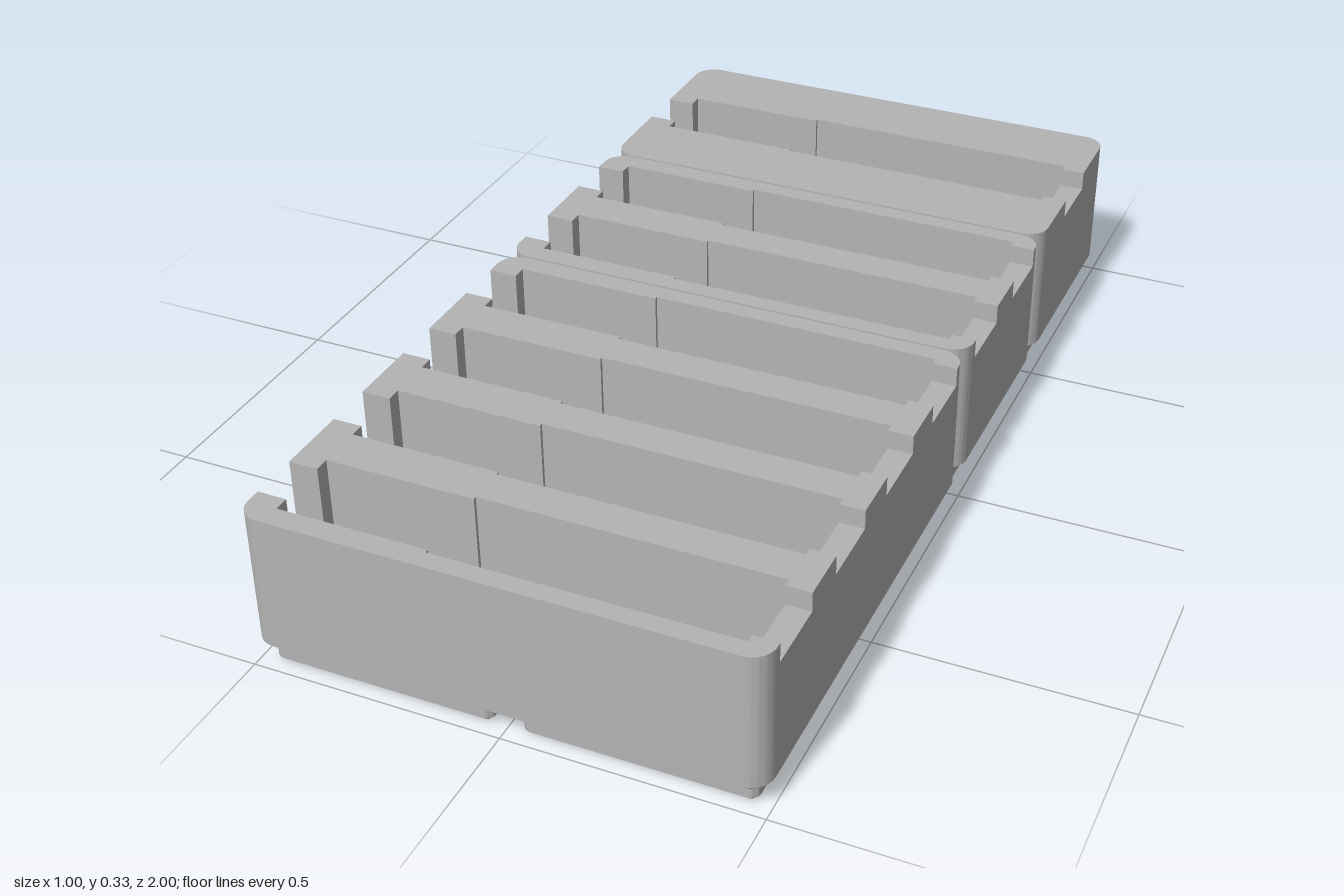
import * as THREE from 'three';
import { toCreasedNormals } from 'three/addons/utils/BufferGeometryUtils.js';

const X = 0.4985, R = 0.0448;               // half width of a bin, corner radius
const BODY = 0.0567, SLAB = 0.08, TOP = 0.3343;
const FLOOR = 0.1, WIDE_FLOOR = 0.09, SILL = 0.295, RAMP = 0.21;
// half width of a slot along x: [start, end, half width]
const SLOT = [[-X, -0.44, 0.05], [-0.44, -0.14, 0.08], [-0.14, 0.45, 0.087], [0.45, X, 0.07]];
// bins: back end, front end, number of slots
const BINS = [[0.003, 1, 4], [-0.4985, -0.003, 2], [-1, -0.5045, 1]];

const plastic = new THREE.MeshStandardMaterial({ color: 0xb4b4b4, side: THREE.DoubleSide });
plastic.name = 'grey plastic';

function add(group, name, geometry, x = 0, y = 0, z = 0) {
  const mesh = new THREE.Mesh(geometry, plastic);
  mesh.name = name;
  mesh.position.set(x, y, z);
  group.add(mesh);
}

// Extrudes a plan shape upwards; shape y becomes -z
function raise(shape, y0, y1) {
  const g = new THREE.ExtrudeGeometry(shape, { depth: y1 - y0, bevelEnabled: false, curveSegments: 8 });
  return toCreasedNormals(g.rotateX(-Math.PI / 2).translate(0, y0, 0), 0.5);
}

// Plan of a wall between two slots, or out to a rounded end of the bin
function wallPlan(lo, hi, loEnd, hiEnd) {
  const s = new THREE.Shape(), P = Math.PI;
  if (loEnd) {
    s.moveTo(-X, lo + R);
    s.absarc(-X + R, lo + R, R, P, 1.5 * P);
    s.absarc(X - R, lo + R, R, 1.5 * P, 2 * P);
  } else {
    SLOT.forEach(([a, b, w], i) => {
      if (i) s.lineTo(a, lo + w); else s.moveTo(a, lo + w);
      s.lineTo(b, lo + w);
    });
  }
  if (hiEnd) {
    s.absarc(X - R, hi - R, R, 0, P / 2);
    s.absarc(-X + R, hi - R, R, P / 2, P);
  } else {
    [...SLOT].reverse().forEach(([a, b, w]) => s.lineTo(b, hi - w).lineTo(a, hi - w));
  }
  s.closePath();
  return s;
}

function boxBetween(x0, x1, y0, y1, half) {
  return new THREE.BoxGeometry(x1 - x0, y1 - y0, half * 2).translate((x0 + x1) / 2, (y0 + y1) / 2, 0);
}

// Points round a rounded square, counter-clockwise
function roundedSquare(half, r, n = 8) {
  const pts = [];
  [[1, 1], [-1, 1], [-1, -1], [1, -1]].forEach(([sx, sy], q) => {
    for (let i = 0; i <= n; i++) {
      const a = (q + i / n) * Math.PI / 2;
      pts.push(new THREE.Vector2(sx * (half - r) + r * Math.cos(a), sy * (half - r) + r * Math.sin(a)));
    }
  });
  return pts;
}

// Stepped foot side, lofted through [height, half size, corner radius]
function footSide() {
  const rings = [[0, 0.2125, 0.0096], [0.0096, 0.222, 0.019], [0.031, 0.222, 0.019], [BODY, 0.2478, R]]
    .map(([y, h, r]) => roundedSquare(h, r).map(p => [p.x, y, -p.y]));
  const pos = [], n = rings[0].length;
  for (let j = 0; j < rings.length - 1; j++) {
    for (let i = 0; i < n; i++) {
      const k = (i + 1) % n;
      const [a, b, c, d] = [rings[j][i], rings[j][k], rings[j + 1][k], rings[j + 1][i]];
      pos.push(...a, ...b, ...c, ...a, ...c, ...d);
    }
  }
  const g = new THREE.BufferGeometry();
  g.setAttribute('position', new THREE.Float32BufferAttribute(pos, 3));
  return toCreasedNormals(g, 0.5);
}

function makeFoot() {
  const foot = new THREE.Group(), r = 0.039, depth = 0.029, off = 0.155;
  add(foot, 'footSide', footSide());
  const sole = new THREE.Shape(roundedSquare(0.2125, 0.0096));
  for (const x of [-off, off]) for (const z of [-off, off]) {
    sole.holes.push(new THREE.Path().absarc(x, z, r, 0, Math.PI * 2, true));
    add(foot, 'magnetHoleWall', new THREE.CylinderGeometry(r, r, depth, 24, 1, true), x, depth / 2, z);
    add(foot, 'magnetHoleEnd', new THREE.CircleGeometry(r, 24).rotateX(Math.PI / 2), x, depth, z);
  }
  add(foot, 'footSole', new THREE.ShapeGeometry(sole, 12).rotateX(Math.PI / 2));
  return foot;
}

function makeBin(z0, z1, count) {
  const bin = new THREE.Group();
  bin.name = 'bin';
  const lo = -z1, hi = -z0;
  add(bin, 'baseSlab', raise(wallPlan(lo, hi, true, true), BODY, SLAB));

  // walls between the slots
  const centre = i => lo + (hi - lo) * (i + 0.5) / count;
  for (let i = 0; i <= count; i++) {
    const first = i === 0, last = i === count;
    add(bin, 'wall', raise(wallPlan(first ? lo : centre(i - 1), last ? hi : centre(i), first, last), SLAB, TOP));
  }

  // narrow floor with a round recess, and the ramp up to the right-hand notch
  const floor = new THREE.Shape([[-0.44, -0.08], [-0.14, -0.08], [-0.14, 0.08], [-0.44, 0.08]]
    .map(p => new THREE.Vector2(...p)));
  floor.holes.push(new THREE.Path().absarc(-0.25, 0, 0.05, 0, Math.PI * 2, true));
  const ramp = new THREE.Shape([[-X, SLAB], [-0.44, SLAB], [-0.44, FLOOR], [-0.49, RAMP], [-X, RAMP]]
    .map(p => new THREE.Vector2(...p)));

  for (let i = 0; i < count; i++) {
    const slot = new THREE.Group();
    slot.name = 'slot';
    slot.position.z = -centre(i);
    add(slot, 'narrowFloor', raise(floor, SLAB, FLOOR));
    add(slot, 'wideFloor', boxBetween(-0.14, 0.45, SLAB, WIDE_FLOOR, 0.087));
    add(slot, 'endSill', boxBetween(0.45, X, SLAB, SILL, 0.07));
    add(slot, 'ramp', new THREE.ExtrudeGeometry(ramp, { depth: 0.1, bevelEnabled: false }), 0, 0, -0.05);
    bin.add(slot);
  }
  return bin;
}

export function createModel() {
  const model = new THREE.Group();
  model.name = 'slottedBins';
  for (const b of BINS) model.add(makeBin(...b));

  // two by four grid of feet
  const foot = makeFoot();
  for (const x of [-0.2507, 0.2507]) for (const z of [-0.7522, -0.2507, 0.2507, 0.7522]) {
    const f = foot.clone();
    f.name = 'foot';
    f.position.set(x, 0, z);
    model.add(f);
  }
  return model;
}
